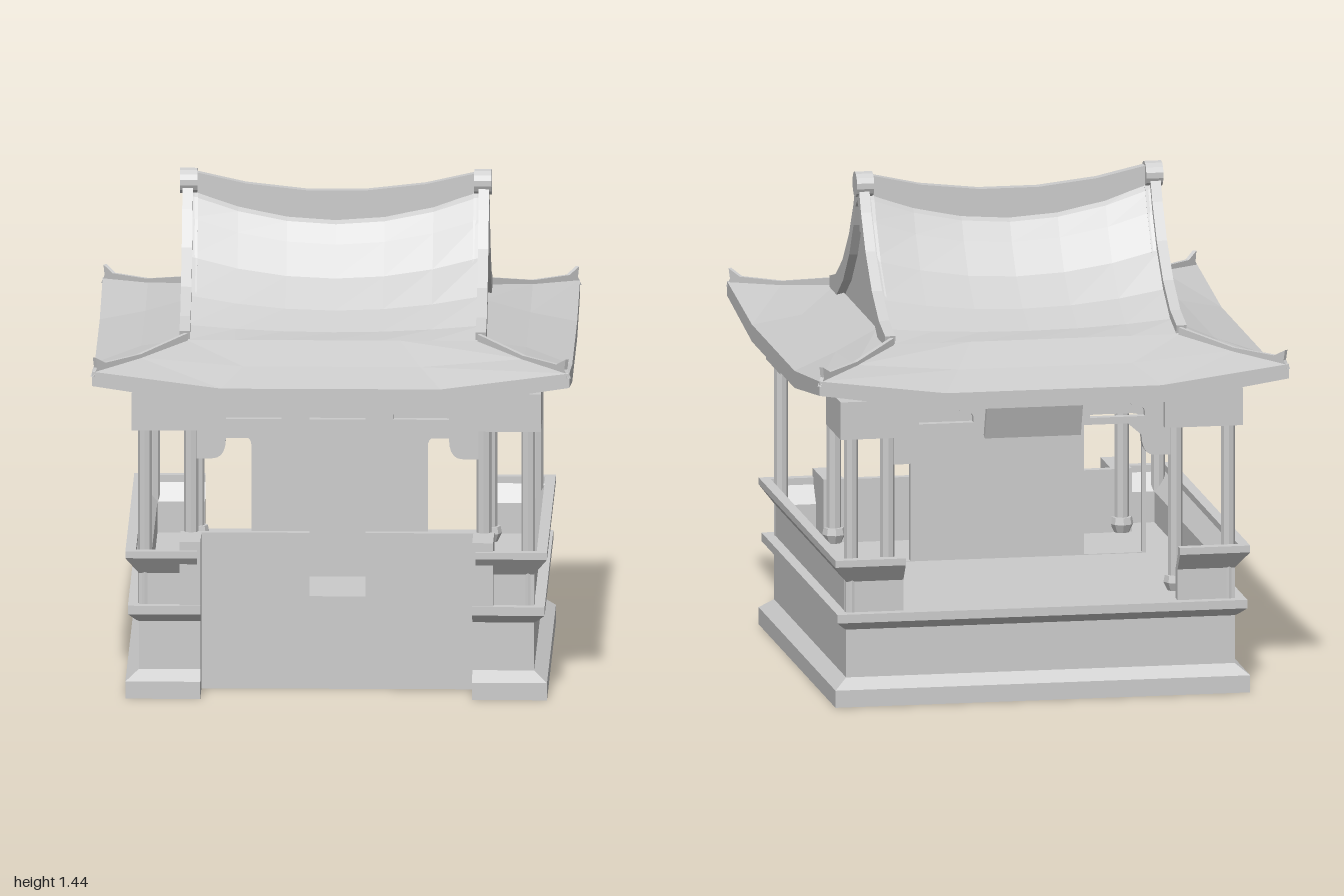
import * as THREE from 'three';

const solid = new THREE.MeshStandardMaterial({ color: 0xcccccc, flatShading: true });
const sheet = new THREE.MeshStandardMaterial({ color: 0xcccccc, flatShading: true, side: THREE.DoubleSide });
const lerp = THREE.MathUtils.lerp;

function add(parent, name, geometry, x = 0, y = 0, z = 0, material = solid) {
  const mesh = new THREE.Mesh(geometry, material);
  mesh.name = name;
  mesh.position.set(x, y, z);
  parent.add(mesh);
  return mesh;
}

// Box given by its two opposite corners
function block(parent, name, x0, x1, y0, y1, z0, z1) {
  const g = new THREE.BoxGeometry(Math.abs(x1 - x0), y1 - y0, Math.abs(z1 - z0));
  return add(parent, name, g, (x0 + x1) / 2, (y0 + y1) / 2, (z0 + z1) / 2);
}

function fromTriangles(positions, index) {
  const g = new THREE.BufferGeometry();
  g.setAttribute('position', new THREE.Float32BufferAttribute(positions, 3));
  g.setIndex(index);
  const flat = g.toNonIndexed();
  flat.computeVertexNormals();
  return flat;
}

// Capped stack of plan outlines; plan(h) gives [x, z] points, profile is [h, y]
function stack(plan, profile) {
  const pos = [], index = [];
  const area = THREE.ShapeUtils.area(plan(profile[0][0]).map(([x, z]) => new THREE.Vector2(x, -z)));
  const rings = profile.map(([h]) => (area < 0 ? plan(h).reverse() : plan(h)));
  const n = rings[0].length;
  rings.forEach((ring, r) => ring.forEach(([x, z]) => pos.push(x, profile[r][1], z)));
  for (let r = 0; r < rings.length - 1; r++) {
    for (let k = 0; k < n; k++) {
      const a = r * n + k, b = r * n + (k + 1) % n;
      index.push(a, b, b + n, a, b + n, a + n);
    }
  }
  const last = (rings.length - 1) * n;
  const cap = (ring) => THREE.ShapeUtils.triangulateShape(ring.map(([x, z]) => new THREE.Vector2(x, -z)), []);
  cap(rings[rings.length - 1]).forEach(([a, b, c]) => index.push(last + a, last + b, last + c));
  cap(rings[0]).forEach(([a, b, c]) => index.push(a, c, b));
  return fromTriangles(pos, index);
}

// Grid surface over two lists of parameters
function grid(us, vs, f) {
  const pos = [], index = [], w = vs.length;
  us.forEach((u) => vs.forEach((v) => pos.push(...f(u, v))));
  for (let i = 0; i < us.length - 1; i++) {
    for (let j = 0; j < w - 1; j++) {
      const a = i * w + j;
      index.push(a, a + 1, a + w + 1, a, a + w + 1, a + w);
    }
  }
  return fromTriangles(pos, index);
}

// Shape extruded about its own middle; alongZ turns it to run along z
function plate(shape, depth, alongZ = false) {
  const g = new THREE.ExtrudeGeometry(shape, { depth, bevelEnabled: false, curveSegments: 5 });
  g.translate(0, 0, -depth / 2);
  if (alongZ) g.rotateY(Math.PI / 2);
  return g;
}

const polygon = (pts) => new THREE.Shape(pts.map(([x, y]) => new THREE.Vector2(x, y)));

// Frieze board with rounded end corbels and cloud-shaped holes
function frieze(bottom, holes) {
  const s = new THREE.Shape();
  s.moveTo(-0.43, 0.9);
  s.lineTo(-0.43, 0.67);
  s.lineTo(-0.36, 0.67);
  s.quadraticCurveTo(-0.32, 0.67, -0.32, 0.73);
  s.lineTo(-0.28, bottom);
  s.lineTo(0.28, bottom);
  s.lineTo(0.32, 0.73);
  s.quadraticCurveTo(0.32, 0.67, 0.36, 0.67);
  s.lineTo(0.43, 0.67);
  s.lineTo(0.43, 0.9);
  for (const c of holes) {
    const p = new THREE.Path();
    p.moveTo(c - 0.08, 0.785);
    p.lineTo(c - 0.08, 0.8);
    p.quadraticCurveTo(c - 0.07, 0.825, c - 0.04, 0.82);
    p.quadraticCurveTo(c - 0.04, 0.855, c, 0.855);
    p.quadraticCurveTo(c + 0.04, 0.855, c + 0.04, 0.82);
    p.quadraticCurveTo(c + 0.07, 0.825, c + 0.08, 0.8);
    p.lineTo(c + 0.08, 0.785);
    s.holes.push(p);
  }
  return plate(s, 0.025, true);
}

function buildLower(g) {
  // Stone base, notched at the entrance
  const basePlan = (h) => [[-h, -0.39], [-h, -h], [h, -h], [h, h], [-h, h], [-h, 0.39], [-0.44, 0.39], [-0.44, -0.39]];
  add(g, 'base', stack(basePlan, [[0.605, 0], [0.605, 0.05], [0.567, 0.08], [0.567, 0.22],
    [0.575, 0.225], [0.598, 0.245], [0.598, 0.27]]));

  for (const s of [-1, 1]) {
    // Flared parapet, wrapping round two corners
    const parapetPlan = (h) => {
      const i = h - 0.03;
      return [[-h, 0.4], [-h, h], [h, h], [h, 0.4], [i, 0.4], [i, i], [-i, i], [-i, 0.4]].map(([x, z]) => [x, z * s]);
    };
    add(g, 'parapet', stack(parapetPlan, [[0.567, 0.27], [0.567, 0.36], [0.605, 0.41], [0.605, 0.43]]));
    // Entrance cheeks and low walls
    block(g, 'entranceCheek', -0.59, -0.42, 0.27, 0.455, s * 0.39, s * 0.45);
    block(g, 'entranceWall', -0.44, -0.415, 0.27, 0.455, s * 0.08, s * 0.39);

    for (const t of [-1, 1]) {
      // Outer and inner columns
      add(g, 'outerColumn', new THREE.CylinderGeometry(0.02, 0.02, 0.61, 8), t * 0.55, 0.575, s * 0.55);
      add(g, 'innerColumn', new THREE.CylinderGeometry(0.021, 0.021, 0.7, 8), t * 0.42, 0.62, s * 0.42);
      add(g, 'columnBase', new THREE.LatheGeometry([[0, 0], [0.022, 0], [0.034, 0.025], [0.03, 0.045], [0, 0.045]]
        .map(([x, y]) => new THREE.Vector2(x, y)), 8), t * 0.42, 0.27, s * 0.42);
      // Corner boards under the eaves
      block(g, 'cornerBoard', t * 0.56, t * 0.587, 0.78, 0.89, s * 0.36, s * 0.587);
      block(g, 'cornerBoard', t * 0.36, t * 0.587, 0.78, 0.89, s * 0.56, s * 0.587);
    }
    // Ring beams
    block(g, 'eaveBeam', -0.57, 0.57, 0.86, 0.89, s * 0.545, s * 0.575);
    block(g, 'eaveBeam', s * 0.545, s * 0.575, 0.86, 0.89, -0.57, 0.57);
    block(g, 'gableBeam', -0.43, 0.43, 0.82, 0.89, s * 0.405, s * 0.435);
  }

  add(g, 'entranceFrieze', frieze(0.73, [-0.24, 0, 0.24]), -0.42);
  add(g, 'openFrieze', frieze(0.765, [-0.25, 0.25]), 0.42);
  // Tilted plaque
  const plaque = add(g, 'plaque', new THREE.BoxGeometry(0.02, 0.1, 0.28), 0.455, 0.79, 0);
  plaque.rotation.z = -0.35;

  // Screen wall with two round-cornered doorways
  const wall = polygon([[-0.435, 0.27], [0.435, 0.27], [0.435, 0.93], [-0.435, 0.93]]);
  for (const c of [-0.338, 0.338]) {
    const p = new THREE.Path();
    p.moveTo(c - 0.085, 0.272);
    p.lineTo(c - 0.085, 0.65);
    p.quadraticCurveTo(c - 0.085, 0.68, c - 0.055, 0.68);
    p.lineTo(c + 0.055, 0.68);
    p.quadraticCurveTo(c + 0.085, 0.68, c + 0.085, 0.65);
    p.lineTo(c + 0.085, 0.272);
    wall.holes.push(p);
  }
  add(g, 'screenWall', plate(wall, 0.02, true), -0.125);
}

function buildRoof(g) {
  // Half section of the upper roof at the gables: [distance from ridge, height]
  const half = [[0, 1.39], [0.03, 1.365], [0.06, 1.305], [0.13, 1.205], [0.23, 1.11], [0.34, 1.045], [0.44, 1.02]];
  const section = [...half.slice(1).reverse().map(([x, y]) => [-x, y]), ...half];

  // Upper roof, sagging towards the middle
  const stations = [-0.42, -0.28, -0.14, 0, 0.14, 0.28, 0.42];
  add(g, 'upperRoof', grid(stations, section, (z, [x, y]) =>
    [x, y - 0.09 * (1 - Math.abs(x) / 0.44) * (1 - (z / 0.42) ** 2), z]), 0, 0, 0, sheet);

  // Skirt roof: [inner to outer, height at mid side, height at corner]
  const rows = [[0, 1.02, 1.02], [0.5, 0.97, 0.995], [1, 0.932, 0.98], [1, 0.882, 0.938], [0, 0.965, 0.965]];
  const breaks = [[-1, 1], [-0.46, 0], [0.46, 0], [1, 1]];
  for (const s of [-1, 1]) {
    add(g, 'sideEave', grid(rows, breaks, ([t, mid, corner], [a, c]) =>
      [s * lerp(0.44, 0.727, t), lerp(mid, corner, c), a * lerp(0.42, 0.685, t)]), 0, 0, 0, sheet);
    add(g, 'gableEave', grid(rows, breaks, ([t, mid, corner], [a, c]) =>
      [a * lerp(0.44, 0.727, t), lerp(mid, corner, c), s * lerp(0.42, 0.685, t)]), 0, 0, 0, sheet);

    // Gable wall, curved bargeboard and its rounded finial
    add(g, 'gableWall', plate(polygon([[-0.44, 0.96], ...section.map(([x, y]) => [x, y - 0.005]), [0.44, 0.96]]), 0.02), 0, 0, s * 0.405);
    const board = [...section.map(([x, y]) => [x, y + 0.025]), ...section.map(([x, y]) => [x * 0.97, y - 0.035]).reverse()];
    add(g, 'bargeboard', plate(polygon(board), 0.03), 0, 0, s * 0.425);
    const finial = add(g, 'finial', new THREE.CylinderGeometry(0.037, 0.037, 0.05, 14), 0, 1.402, s * 0.422);
    finial.rotation.x = Math.PI / 2;

    // Hip ridges with upturned tips
    for (const t of [-1, 1]) {
      const run = Math.hypot(0.287, 0.265);
      const fin = polygon([[0, 0.99], [run * 0.5, 0.985], [run, 0.965], [run - 0.015, 0.99],
        [run - 0.01, 1.02], [run - 0.05, 1.0], [run * 0.5, 1.005], [0, 1.04]]);
      const hip = add(g, 'hipRidge', plate(fin, 0.012), t * 0.44, 0, s * 0.42);
      hip.rotation.y = Math.atan2(-s * 0.265, t * 0.287);
    }
  }

  // Sagging ridge wall
  const ridge = new THREE.Shape();
  ridge.moveTo(-0.43, 1.26);
  ridge.lineTo(0.43, 1.26);
  ridge.lineTo(0.43, 1.435);
  ridge.quadraticCurveTo(0, 1.315, -0.43, 1.435);
  add(g, 'ridge', plate(ridge, 0.03, true));
}

export function createModel() {
  const model = new THREE.Group();
  model.name = 'pavilion';
  const turned = new THREE.Group();
  turned.name = 'pavilionBody';
  turned.rotation.y = 0.733;
  model.add(turned);
  const lower = new THREE.Group();
  lower.name = 'baseAndTimberFrame';
  lower.position.set(0.014, 0, 0.013);
  const roof = new THREE.Group();
  roof.name = 'roof';
  turned.add(lower, roof);
  buildLower(lower);
  buildRoof(roof);
  return model;
}
